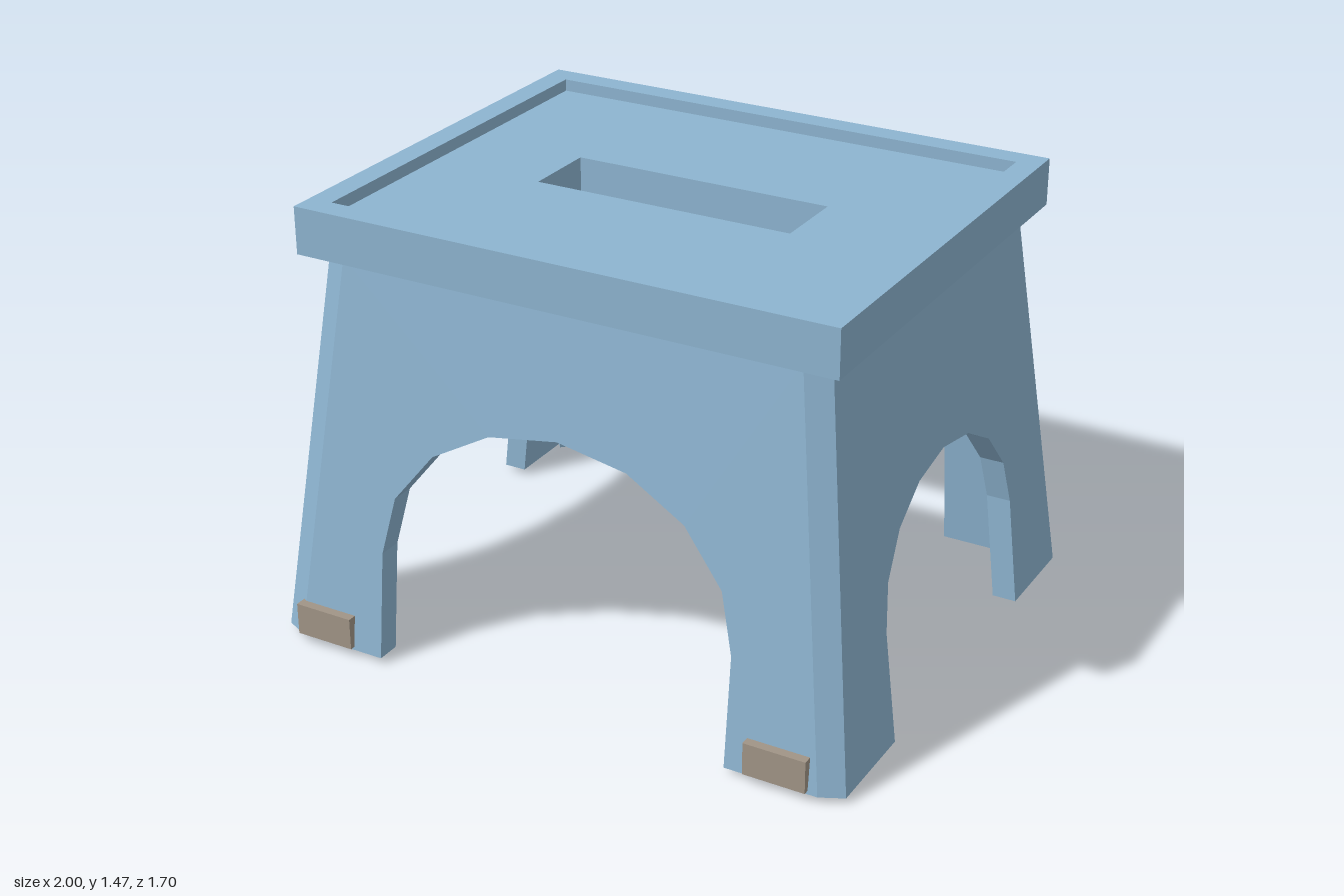
import * as THREE from 'three';

const FOOT = 0.02, SEAT = 1.31;          // wall bottom and seat underside
const HALF_X = 1.0, HALF_Z = 0.843;      // half footprint at the wall bottom
const LEAN_X = 0.116, LEAN_Z = 0.112;    // inward lean per unit of height
const WALL = 0.08, CHAMFER_X = 0.075, CHAMFER_Z = 0.036;

// Moves every vertex of a geometry by a rule
function reshape(geo, rule) {
  const p = geo.attributes.position, v = new THREE.Vector3();
  for (let i = 0; i < p.count; i++) {
    rule(v.fromBufferAttribute(p, i));
    p.setXYZ(i, v.x, v.y, v.z);
  }
  geo.computeVertexNormals();
  return geo;
}

const extrude = (shape, depth) =>
  new THREE.ExtrudeGeometry(shape, { depth, bevelEnabled: false });

const polygon = pts => new THREE.Shape(pts.map(([x, y]) => new THREE.Vector2(x, y)));

// Leaning wall with a faceted arch; arch points run from the leg up to the crown
function wallGeometry(halfWidth, sideLean, dist, lean, arch) {
  const top = halfWidth - sideLean * (SEAT - FOOT);
  const right = [[arch[0][0], FOOT], ...arch];
  const left = right.slice(0, -1).reverse().map(([x, y]) => [-x, y]);
  const shape = polygon([
    ...right, ...left, [-halfWidth, FOOT], [-top, SEAT], [top, SEAT], [halfWidth, FOOT],
  ]);
  const geo = extrude(shape, WALL).translate(0, 0, dist - WALL);
  return reshape(geo, v => { v.z -= lean * (v.y - FOOT); });
}

// Chamfered corner post with a slanted foot
function postGeometry(sx, sz) {
  const xi = HALF_X - WALL, zi = HALF_Z - WALL;
  const shape = polygon([
    [sx * HALF_X, sz * (HALF_Z - CHAMFER_Z)], [sx * (HALF_X - CHAMFER_X), sz * HALF_Z],
    [sx * (xi - 0.045), sz * zi], [sx * xi, sz * (zi - 0.045)],
  ]);
  const geo = extrude(shape, SEAT - FOOT).rotateX(Math.PI / 2).translate(0, SEAT, 0);
  return reshape(geo, v => {
    const inner = Math.abs(v.x) < xi + 0.001 && Math.abs(v.z) < zi + 0.001;
    if (v.y < 0.5) v.y = inner ? 0 : FOOT;
    v.x -= sx * LEAN_X * (v.y - FOOT);
    v.z -= sz * LEAN_Z * (v.y - FOOT);
  });
}

// Flat rectangular slab with a rectangular opening
function frameGeometry(w, d, holeW, holeD, y0, y1) {
  const rect = (a, b) => [[-a, -b], [a, -b], [a, b], [-a, b]];
  const shape = polygon(rect(w, d));
  shape.holes.push(polygon(rect(holeW, holeD)));
  return extrude(shape, y1 - y0).rotateX(Math.PI / 2).translate(0, y1, 0);
}

export function createModel() {
  const blue = new THREE.MeshStandardMaterial({ color: 0x8db4d0 });
  blue.name = 'paleBlue';
  const taupe = new THREE.MeshStandardMaterial({ color: 0xa09486 });
  taupe.name = 'taupe';

  const model = new THREE.Group();
  model.name = 'stepStool';
  const stool = new THREE.Group();
  stool.name = 'stool';
  stool.position.z = -0.008;
  model.add(stool);

  const add = (name, geo, mat = blue) => {
    const mesh = new THREE.Mesh(geo, mat);
    mesh.name = name;
    stool.add(mesh);
    return mesh;
  };

  // Seat with hand slot, and the raised rim around it
  add('seat', frameGeometry(0.91, 0.749, 0.44, 0.126, SEAT, 1.425));
  add('seatRim', frameGeometry(0.91, 0.749, 0.83, 0.668, 1.425, 1.465));

  // Front and back walls
  const wideArch = [[0.617, 0.38], [0.573, 0.575], [0.438, 0.745], [0.238, 0.857], [0, 0.897]];
  ['frontWall', 'backWall'].forEach((name, i) => {
    const geo = wallGeometry(HALF_X - CHAMFER_X, LEAN_X, HALF_Z, LEAN_Z, wideArch);
    add(name, geo).rotation.y = i * Math.PI;
  });

  // Side walls
  const narrowArch = [[0.472, 0.385], [0.437, 0.535], [0.335, 0.663], [0.182, 0.747], [0, 0.778]];
  ['leftWall', 'rightWall'].forEach((name, i) => {
    const geo = wallGeometry(HALF_Z - CHAMFER_Z, LEAN_Z, HALF_X, LEAN_X, narrowArch);
    add(name, geo).rotation.y = (i ? -1 : 1) * Math.PI / 2;
  });

  // Corner posts
  for (const sx of [1, -1]) for (const sz of [1, -1]) {
    add(`${sz > 0 ? 'front' : 'back'}${sx > 0 ? 'Left' : 'Right'}Post`, postGeometry(sx, sz));
  }

  // Small blocks on the front feet
  for (const [name, x] of [['leftFootBlock', 0.79], ['rightFootBlock', -0.823]]) {
    add(name, new THREE.BoxGeometry(0.205, 0.108, 0.05), taupe).position.set(x, 0.085, 0.835);
  }

  return model;
}
